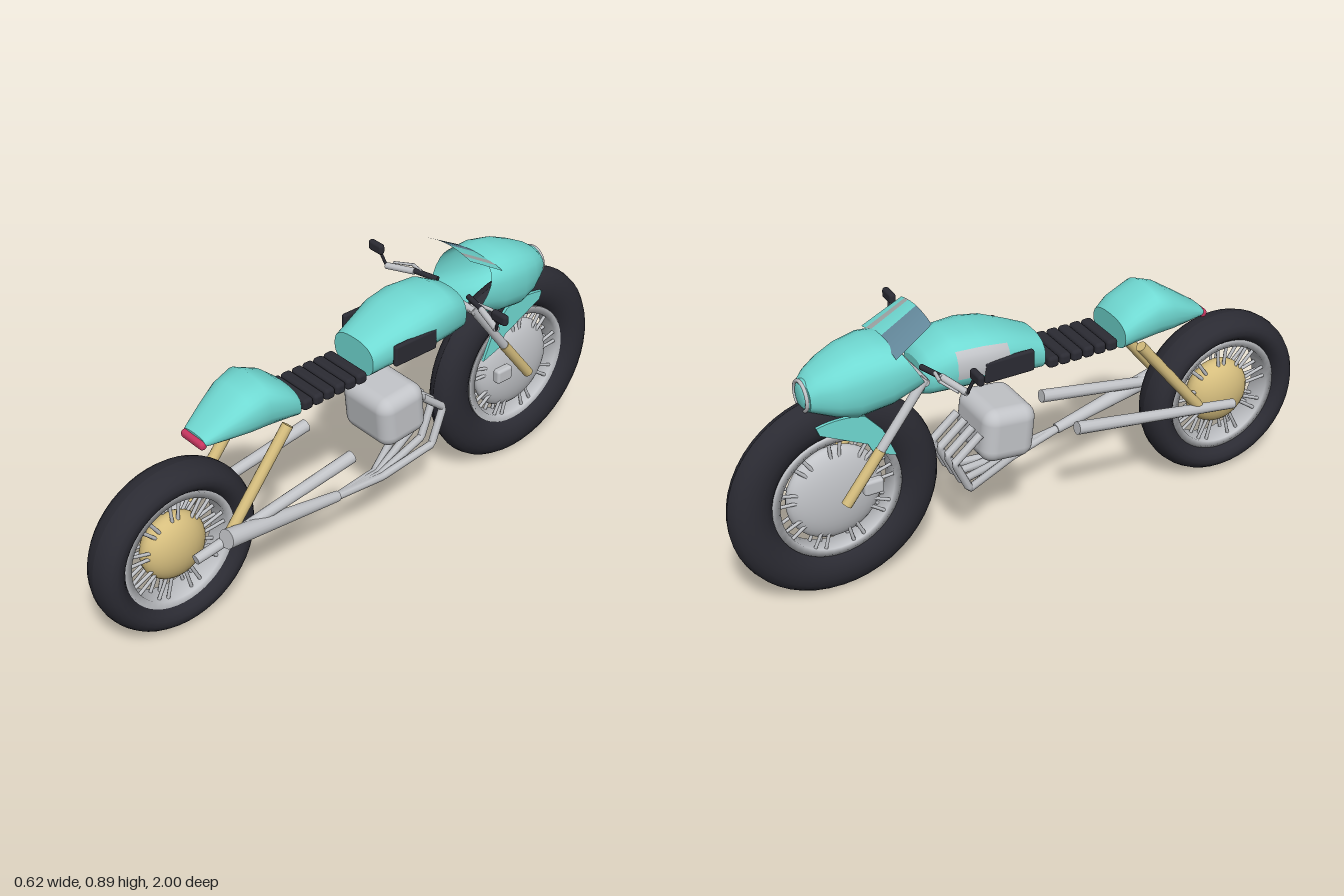
import * as THREE from 'three';
import { RoundedBoxGeometry } from 'three/addons/geometries/RoundedBoxGeometry.js';

const V = (x, y, z) => new THREE.Vector3(x, y, z);

export function createModel() {
  const root = new THREE.Group();
  root.name = 'motorcycle';
  const mat = (name, color, side = THREE.FrontSide) => {
    const m = new THREE.MeshStandardMaterial({ color, side });
    m.name = name;
    return m;
  };
  const teal = mat('turquoise paint', 0x70dad3, THREE.DoubleSide);
  const rubber = mat('black rubber', 0x2b2b33);
  const silver = mat('silver metal', 0xc2c4c8);
  const gold = mat('gold metal', 0xd6be7e);
  const slate = mat('slate glass', 0x64899c, THREE.DoubleSide);
  const stripe = mat('grey stripe', 0xa3aaaa, THREE.DoubleSide);
  const red = mat('red lens', 0xc83660);

  const add = (name, geo, material, parent = root) => {
    const m = new THREE.Mesh(geo, material);
    m.name = name;
    parent.add(m);
    return m;
  };
  // Tapered rod from a to b
  const rod = (name, a, b, ra, rb, material, sides = 12, parent = root) => {
    const d = b.clone().sub(a);
    const m = add(name, new THREE.CylinderGeometry(rb, ra, d.length(), sides), material, parent);
    m.position.copy(a).addScaledVector(d, 0.5);
    m.quaternion.setFromUnitVectors(V(0, 1, 0), d.normalize());
    return m;
  };
  // Body shell through rounded sections [z, bottom, top, halfWidth, lean], z rising
  const loft = (name, sections, capStart, capEnd, paint = () => 0) => {
    const n = 28, pos = [], idx = [[], []];
    const point = (s, j) => {
      const [z, lo, hi, w, lean = 0] = s, a = (j / n) * Math.PI * 2;
      const pw = (v) => Math.sign(v) * Math.abs(v) ** 0.8;
      const dy = pw(Math.sin(a)) * (hi - lo) / 2;
      return [w * pw(Math.cos(a)), (lo + hi) / 2 + dy, z + lean * dy];
    };
    sections.forEach((s) => { for (let j = 0; j < n; j++) pos.push(...point(s, j)); });
    for (let i = 0; i < sections.length - 1; i++) {
      for (let j = 0; j < n; j++) {
        const a = i * n + j, b = i * n + (j + 1) % n;
        idx[paint(i, j)].push(a, b, b + n, a, b + n, a + n);
      }
    }
    const cap = (s, flip) => {
      const base = pos.length / 3;
      for (let j = 0; j < n; j++) pos.push(...point(s, j));
      for (let j = 1; j < n - 1; j++) idx[0].push(base, base + (flip ? j + 1 : j), base + (flip ? j : j + 1));
    };
    if (capStart) cap(sections[0], true);
    if (capEnd) cap(sections[sections.length - 1], false);
    const g = new THREE.BufferGeometry();
    g.setAttribute('position', new THREE.Float32BufferAttribute(pos, 3));
    g.setIndex([...idx[0], ...idx[1]]);
    g.addGroup(0, idx[0].length, 0);
    g.addGroup(idx[0].length, idx[1].length, 1);
    g.computeVertexNormals();
    return add(name, g, [teal, silver]);
  };

  // Wheels: tyre, rim, domed hub and paired spokes
  const wheel = (name, y, z, outer, inner, half, hubR, hubMat) => {
    const w = new THREE.Group();
    w.name = name;
    w.position.set(0, y, z);
    root.add(w);
    const mid = (outer + inner) / 2, rad = (outer - inner) / 2, pts = [];
    for (let i = 0; i <= 18; i++) {
      const a = (i / 18) * Math.PI * 2;
      pts.push(new THREE.Vector2(mid + rad * Math.cos(a), half * Math.sin(a)));
    }
    add('tyre', new THREE.LatheGeometry(pts, 48), rubber, w).rotation.z = Math.PI / 2;
    const r = inner + 0.01, h = half * 0.6;
    const rim = [[r, -h], [r, h], [r - 0.024, h], [r - 0.024, -h], [r, -h]].map((p) => new THREE.Vector2(...p));
    add('rim', new THREE.LatheGeometry(rim, 48), silver, w).rotation.z = Math.PI / 2;
    add('hub', new THREE.SphereGeometry(1, 32, 20), hubMat, w).scale.set(half * 0.95, hubR, hubR);
    for (let i = 0; i < 9; i++) {
      for (const d of [-0.1, 0.1]) {
        const a = (i / 9) * Math.PI * 2 + d;
        for (const x of [-0.022, 0.022]) {
          rod('spoke', V(x, Math.cos(a) * hubR * 0.8, Math.sin(a) * hubR * 0.8),
            V(x, Math.cos(a) * (inner - 0.008), Math.sin(a) * (inner - 0.008)), 0.006, 0.006, silver, 6, w);
        }
      }
    }
  };
  wheel('rearWheel', 0.287, 0.72, 0.282, 0.188, 0.068, 0.112, gold);
  wheel('frontWheel', 0.345, -0.657, 0.341, 0.2, 0.053, 0.157, silver);

  // Tail cowl, tank and front fairing
  loft('tailCowl', [
    [0.30, 0.585, 0.685, 0.095], [0.34, 0.593, 0.72, 0.105], [0.42, 0.598, 0.76, 0.108],
    [0.48, 0.6, 0.738, 0.1], [0.55, 0.604, 0.69, 0.078], [0.61, 0.608, 0.647, 0.056], [0.62, 0.61, 0.64, 0.05],
  ], true, true);
  loft('tank', [
    [-0.38, 0.615, 0.725, 0.07], [-0.36, 0.615, 0.755, 0.095], [-0.29, 0.615, 0.79, 0.115],
    [-0.2, 0.615, 0.79, 0.127], [-0.12, 0.612, 0.775, 0.122], [-0.04, 0.605, 0.742, 0.102], [0.018, 0.597, 0.715, 0.09],
  ], true, true, (i, j) => (i >= 2 && i <= 3 && j >= 11 && j <= 14 ? 1 : 0));
  loft('fairing', [
    [-0.735, 0.655, 0.745, 0.055], [-0.71, 0.645, 0.77, 0.072], [-0.66, 0.625, 0.795, 0.1],
    [-0.6, 0.608, 0.82, 0.116], [-0.51, 0.625, 0.832, 0.126, -0.2], [-0.425, 0.665, 0.825, 0.118, -0.6],
  ], true, false);

  // Headlight: bezel, bright ring and shallow dome
  const bezel = rod('headlightBezel', V(0, 0.7, -0.715), V(0, 0.7, -0.742), 0.052, 0.05, teal, 28);
  const ring = add('headlightRing', new THREE.TorusGeometry(0.046, 0.006, 8, 28), silver);
  ring.position.set(0, 0.7, -0.742);
  const lamp = add('headlight', new THREE.SphereGeometry(0.043, 24, 12), teal);
  lamp.position.copy(bezel.position).setZ(-0.738);
  lamp.scale.z = 0.3;

  // Arched windscreen made of coloured strips
  const screen = (name, x0, x1, material) => {
    const g = new THREE.PlaneGeometry(1, 1, 6, 4), p = g.attributes.position;
    for (let i = 0; i < p.count; i++) {
      const t = p.getY(i) + 0.5, u = x0 + (x1 - x0) * (p.getX(i) + 0.5);
      p.setXYZ(i, u * (0.115 - 0.018 * t), 0.82 + 0.073 * t - 0.016 * u * u, -0.49 + 0.125 * t);
    }
    g.computeVertexNormals();
    add(name, g, material);
  };
  screen('windscreenRight', -1, 0, slate);
  screen('windscreenLeft', 0, 0.52, teal);
  screen('windscreenStripe', 0.52, 0.75, stripe);
  screen('windscreenEdge', 0.75, 1, teal);

  // Ribbed seat and tail light
  for (let i = 0; i < 6; i++) {
    add('seatRib', new RoundedBoxGeometry(0.17, 0.038, 0.038, 3, 0.012), rubber).position.set(0, 0.622, 0.053 + i * 0.0418);
  }
  add('tailLight', new RoundedBoxGeometry(0.105, 0.028, 0.025, 3, 0.012), red).position.set(0, 0.619, 0.622);

  // Engine block
  const engine = add('engine', new RoundedBoxGeometry(0.22, 0.18, 0.18, 5, 0.045), silver);
  engine.position.set(0, 0.418, -0.107);
  engine.rotation.x = 0.1;

  // Four headers joining into one collector and silencer
  for (let i = 0; i < 4; i++) {
    const x = -0.075 + i * 0.05;
    const path = new THREE.CurvePath();
    const pts = [V(x, 0.44, -0.2), V(x, 0.365, -0.29), V(x + 0.01, 0.25, -0.235), V(0.055 + i * 0.012, 0.228, -0.02), V(0.1, 0.25, 0.18)];
    for (let k = 0; k < 4; k++) path.add(new THREE.LineCurve3(pts[k], pts[k + 1]));
    add('exhaustHeader', new THREE.TubeGeometry(path, 48, 0.013, 8), silver);
  }
  rod('silencer', V(0.1, 0.25, 0.17), V(0.133, 0.333, 0.62), 0.017, 0.031, silver, 20);

  // Mirrored side parts
  for (const s of [-1, 1]) {
    rod('swingarm', V(s * 0.108, 0.29, 0.715), V(s * 0.11, 0.382, 0.12), 0.016, 0.021, silver);
    rod('rearStrut', V(s * 0.1, 0.32, 0.58), V(s * 0.097, 0.6, 0.355), 0.018, 0.018, gold);
    rod('forkLower', V(s * 0.088, 0.345, -0.657), V(s * 0.088, 0.5, -0.538), 0.017, 0.017, gold);
    rod('forkUpper', V(s * 0.088, 0.49, -0.546), V(s * 0.088, 0.7, -0.387), 0.015, 0.015, silver);
    add('brakeCaliper', new RoundedBoxGeometry(0.03, 0.05, 0.065, 2, 0.01), silver).position.set(s * 0.068, 0.37, -0.56);
    add('sidePad', new RoundedBoxGeometry(0.018, 0.072, 0.168, 2, 0.008), rubber).position.set(s * 0.119, 0.68, -0.124);

    // Fender cheek beside the front tyre
    const cheek = new THREE.Shape();
    cheek.absarc(0, 0, 0.28, Math.PI * 0.42, Math.PI * 0.6, false);
    [[-0.14, 0.205], [-0.182, 0.105], [-0.11, 0.13], [-0.09, 0.17], [0, 0.215], [0.06, 0.245]]
      .forEach(([a, b]) => cheek.lineTo(a, b));
    const c = add('fenderCheek', new THREE.ExtrudeGeometry(cheek, { depth: 0.01, bevelEnabled: false }), teal);
    c.rotation.y = Math.PI / 2;
    c.position.set(s * 0.058 - 0.005, 0.345, -0.657);

    // Handlebar, grip, lever and mirror
    rod('handlebar', V(s * 0.07, 0.73, -0.39), V(s * 0.16, 0.732, -0.365), 0.009, 0.009, rubber);
    rod('grip', V(s * 0.152, 0.731, -0.366), V(s * 0.252, 0.72, -0.335), 0.011, 0.011, silver);
    rod('leverArm', V(s * 0.13, 0.735, -0.375), V(s * 0.18, 0.735, -0.385), 0.006, 0.006, silver, 8);
    rod('lever', V(s * 0.18, 0.735, -0.385), V(s * 0.245, 0.725, -0.36), 0.005, 0.004, silver, 8);
    rod('mirrorStem', V(s * 0.25, 0.718, -0.335), V(s * 0.272, 0.775, -0.322), 0.005, 0.005, rubber, 8);
    add('mirror', new RoundedBoxGeometry(0.062, 0.036, 0.022, 2, 0.01), rubber).position.set(s * 0.281, 0.782, -0.318);
  }
  rod('forkClamp', V(-0.1, 0.69, -0.39), V(0.1, 0.69, -0.39), 0.013, 0.013, silver);
  return root;
}
